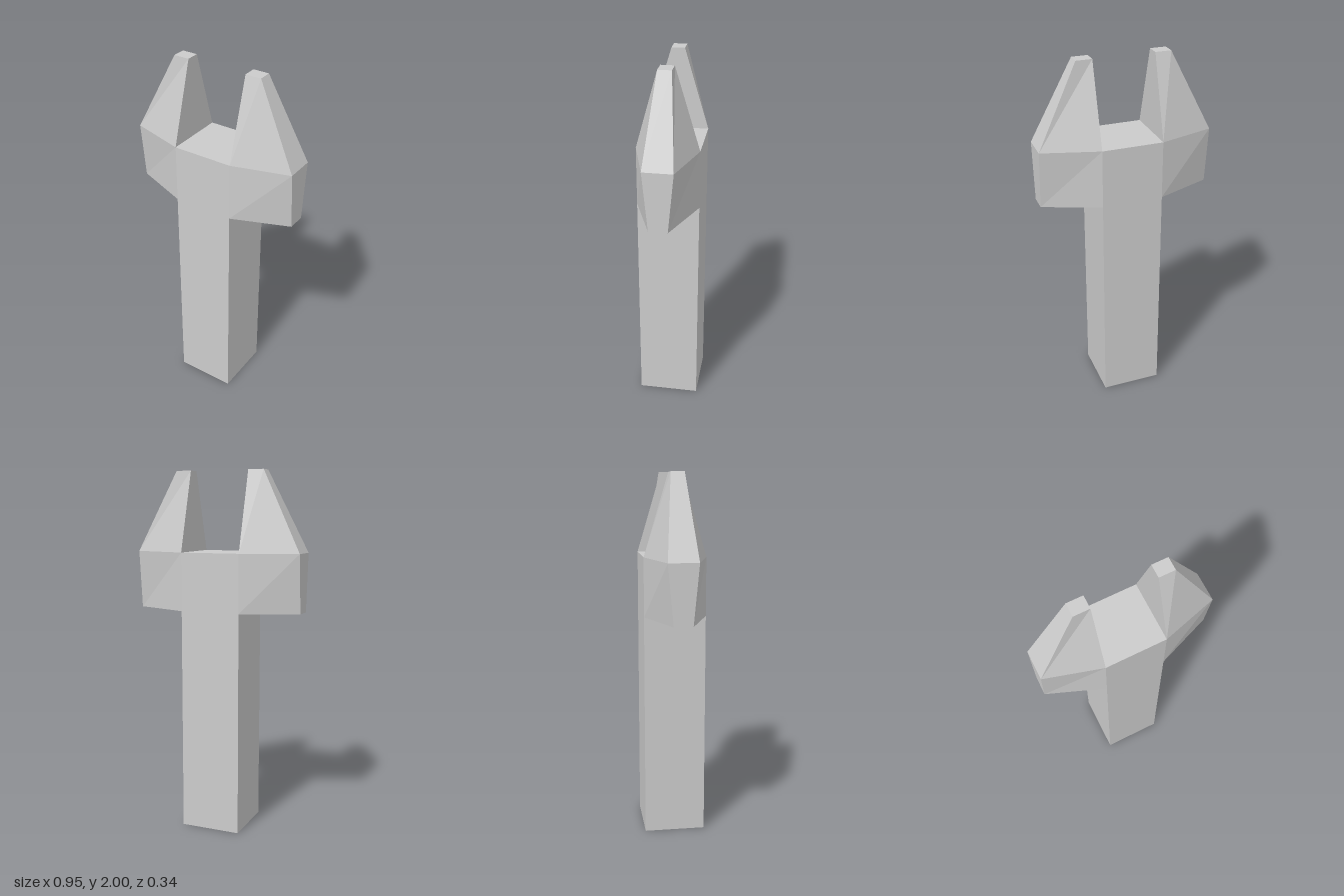
import * as THREE from 'three';

const HALF = 0.168; // half width of the square shaft
const SHOULDER = 1.56;

// Solid lofted through horizontal four-sided sections, from bottom to top
function loft(sections) {
  const pos = [], index = [];
  for (const { y, inner, innerZ, outer, outerZ } of sections) {
    pos.push(inner, y, innerZ, outer, y, outerZ, outer, y, -outerZ, inner, y, -innerZ);
  }
  for (let s = 0; s < sections.length - 1; s++) {
    for (let i = 0; i < 4; i++) {
      const a = s * 4 + i, b = s * 4 + (i + 1) % 4;
      index.push(a, b, b + 4, a, b + 4, a + 4);
    }
  }
  const t = (sections.length - 1) * 4;
  index.push(0, 2, 1, 0, 3, 2, t, t + 1, t + 2, t, t + 2, t + 3);
  const indexed = new THREE.BufferGeometry();
  indexed.setAttribute('position', new THREE.Float32BufferAttribute(pos, 3));
  indexed.setIndex(index);
  const geometry = indexed.toNonIndexed();
  geometry.computeVertexNormals();
  return geometry;
}

export function createModel() {
  const model = new THREE.Group();
  const material = new THREE.MeshStandardMaterial({ color: 0xcccccc, flatShading: true });

  // Square shaft
  const shaft = new THREE.Mesh(new THREE.BoxGeometry(HALF * 2, SHOULDER, HALF * 2), material);
  shaft.name = 'shaft';
  shaft.position.y = SHOULDER / 2;
  model.add(shaft);

  // Tapered prongs, the second turned half way round
  const prong = loft([
    { y: 1.24, inner: HALF, innerZ: HALF, outer: 0.475, outerZ: 0.05 },
    { y: SHOULDER, inner: HALF, innerZ: HALF, outer: 0.475, outerZ: 0.08 },
    { y: 2, inner: HALF, innerZ: 0.036, outer: 0.255, outerZ: 0.036 },
  ]);
  ['leftProng', 'rightProng'].forEach((name, i) => {
    const mesh = new THREE.Mesh(prong, material);
    mesh.name = name;
    mesh.rotation.y = i * Math.PI;
    model.add(mesh);
  });
  return model;
}
